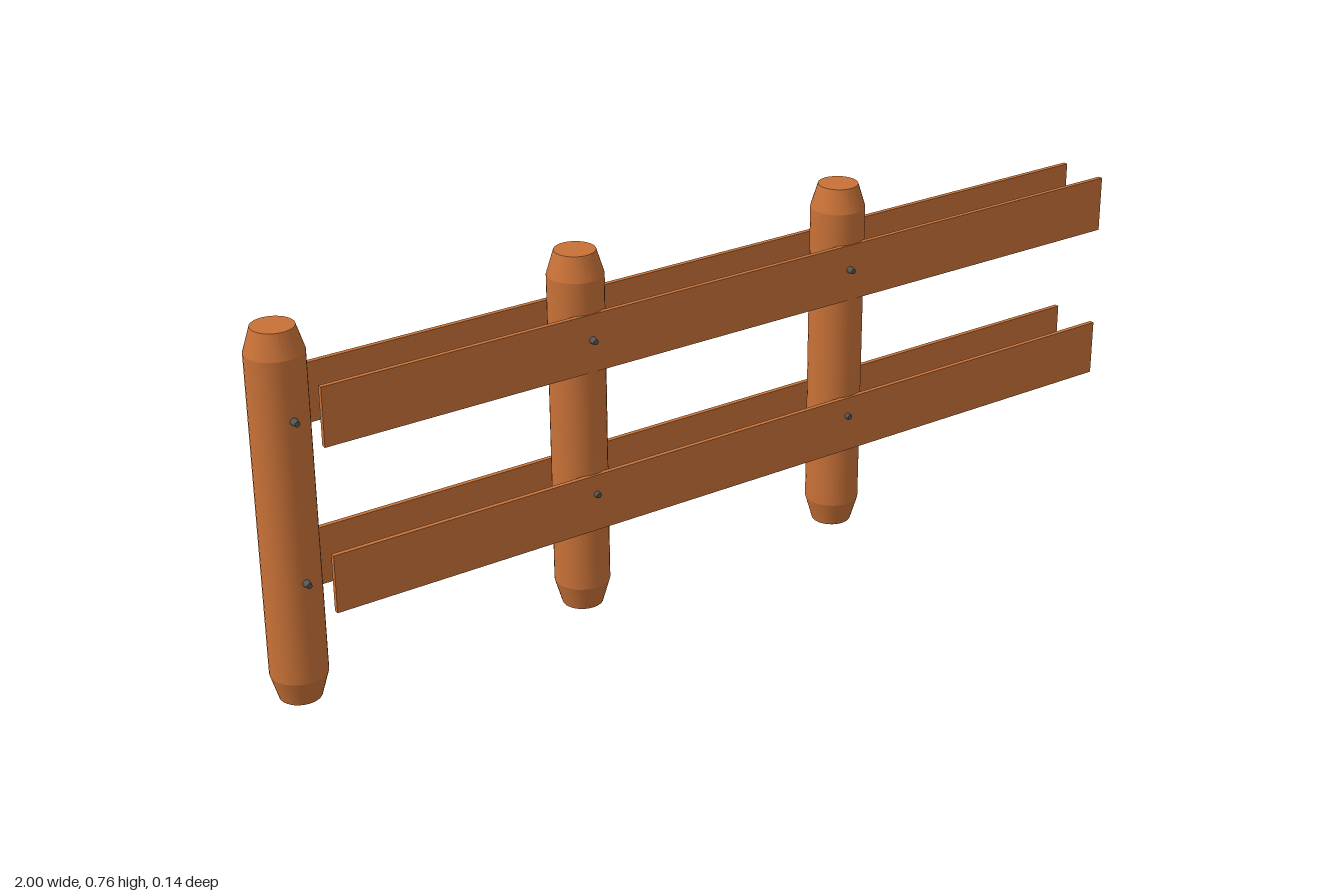
import * as THREE from 'three';
import { toCreasedNormals } from 'three/addons/utils/BufferGeometryUtils.js';

const POST_X = [-0.944, -0.313, 0.318];
const BOLT_X = [-0.942, -0.313, 0.308];
const HEIGHT = 0.758;

export function createModel() {
  const fence = new THREE.Group();
  fence.name = 'fence';
  const wood = new THREE.MeshStandardMaterial({ color: 0xc87137 });
  const metal = new THREE.MeshStandardMaterial({ color: 0x555555 });

  const add = (name, geometry, material, x, y, z) => {
    const mesh = new THREE.Mesh(geometry, material);
    mesh.name = name;
    mesh.position.set(x, y, z);
    fence.add(mesh);
    return mesh;
  };

  // Round posts, chamfered at both ends
  const profile = [[0, 0], [0.041, 0], [0.056, 0.052], [0.056, 0.709], [0.041, HEIGHT], [0, HEIGHT]]
    .map(([r, y]) => new THREE.Vector2(r, y));
  const postGeometry = toCreasedNormals(new THREE.LatheGeometry(profile, 32), 0.25);
  POST_X.forEach((x) => add('post', postGeometry, wood, x, 0, 0.001));

  // Thin rails, two on each face of the posts
  const railGeometry = new THREE.BoxGeometry(1.886, 0.12, 0.01);
  const rails = [
    ['frontUpperRail', 0.583, 0.053],
    ['frontLowerRail', 0.244, 0.057],
    ['backUpperRail', 0.583, -0.058],
    ['backLowerRail', 0.244, -0.058],
  ];
  rails.forEach(([name, y, z]) => add(name, railGeometry, wood, 0.057, y, z));

  // Tapered bolt heads pointing out of both faces
  const boltGeometry = toCreasedNormals(
    new THREE.CylinderGeometry(0.0055, 0.0085, 0.022, 12).rotateX(Math.PI / 2), 0.7);
  for (const x of BOLT_X) {
    for (const y of [0.59, 0.263]) add('frontBolt', boltGeometry, metal, x, y, 0.06);
    for (const y of [0.58, 0.253]) {
      add('backBolt', boltGeometry, metal, x, y, -0.059).rotation.y = Math.PI;
    }
  }

  return fence;
}
